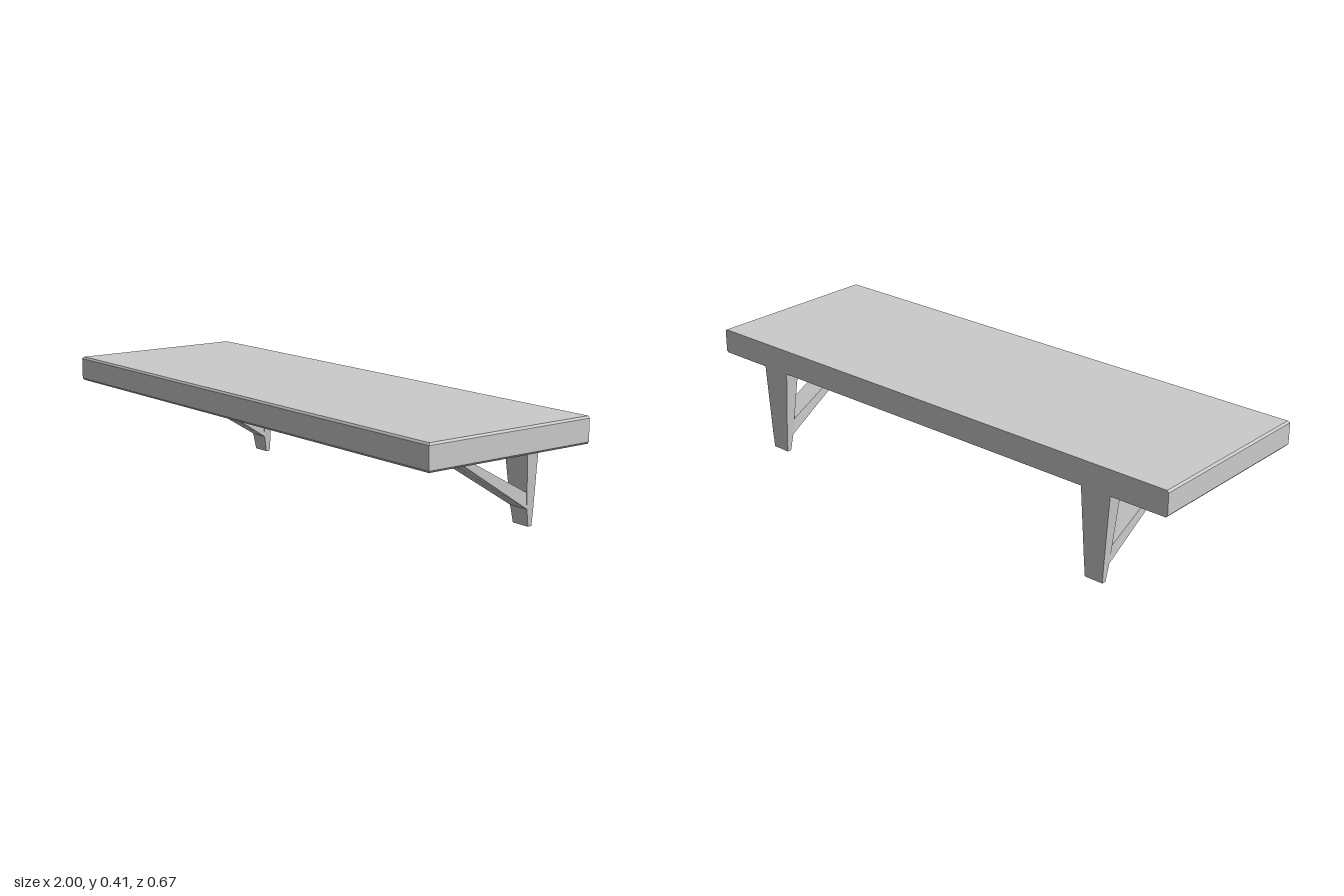
import * as THREE from 'three';
import { ConvexGeometry } from 'three/addons/geometries/ConvexGeometry.js';

const material = new THREE.MeshStandardMaterial({ color: 0xcccccc, flatShading: true });

// Faceted solid from the half-section points [x, y, z], mirrored across x = 0
function solid(name, half) {
  const points = half.flatMap(([x, y, z]) => [new THREE.Vector3(x, y, z), new THREE.Vector3(-x, y, z)]);
  const mesh = new THREE.Mesh(new ConvexGeometry(points), material);
  mesh.name = name;
  return mesh;
}

function createBracket(x) {
  const bracket = new THREE.Group();
  bracket.name = x > 0 ? 'leftBracket' : 'rightBracket';
  bracket.position.x = x;

  // Upright, tapering to the foot in width and depth
  bracket.add(solid('post', [
    [0.057, 0.316, -0.335], [0.057, 0.316, -0.28],
    [0.039, 0.061, -0.333], [0.039, 0.061, -0.304],
    [0.035, 0, -0.331], [0.035, 0, -0.315],
  ]));

  // Arm under the shelf, with a clipped front end
  const arm = [0.288, 0.316].flatMap((y) => [
    [0.043, y, -0.31], [0.043, y, 0.142], [0.02, y, 0.168],
  ]);
  bracket.add(solid('arm', arm));

  // Diagonal brace, its underside bevelled towards the front
  bracket.add(solid('brace', [
    [0.043, 0.289, 0.015], [0.043, 0.289, 0.05], [0.02, 0.289, 0.073],
    [0.039, 0.116, -0.304], [0.039, 0.061, -0.305],
  ]));
  return bracket;
}

export function createModel() {
  const model = new THREE.Group();
  model.name = 'wallShelf';

  // Board with small chamfers on the front and side edges, flush at the back
  const board = [];
  for (const [y, inset] of [[0.315, 0.006], [0.322, 0], [0.398, 0], [0.405, 0.006]]) {
    board.push([1 - inset, y, -0.335], [1 - inset, y, 0.335 - inset]);
  }
  model.add(solid('board', board));

  for (const side of [-1, 1]) model.add(createBracket(side * 0.73));
  return model;
}
